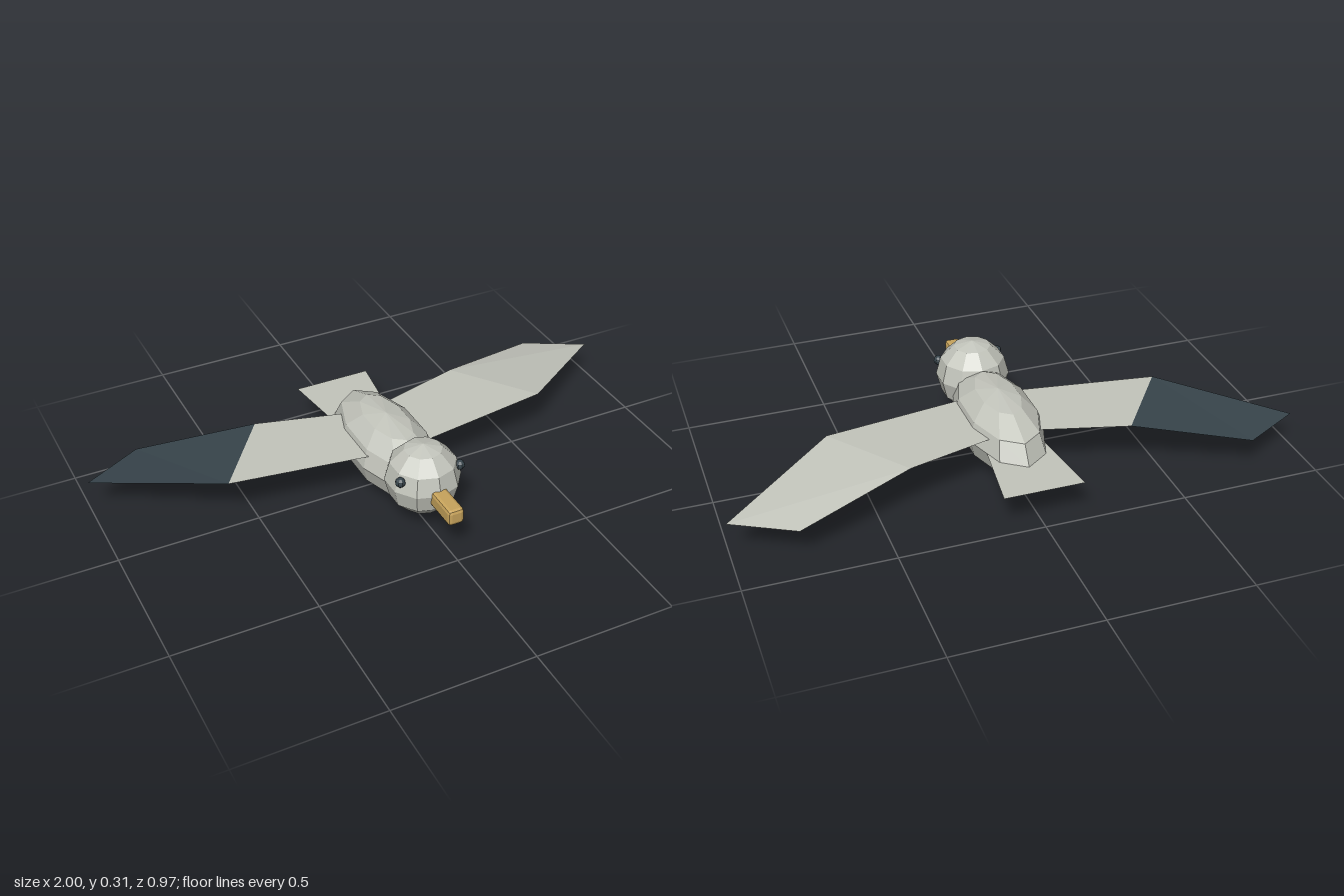
import * as THREE from 'three';
import { RoundedBoxGeometry } from 'three/addons/geometries/RoundedBoxGeometry.js';

const makeMaterial = (name, color, side = THREE.FrontSide) => {
  const m = new THREE.MeshStandardMaterial({ color, flatShading: true, side });
  m.name = name;
  return m;
};

// Flat four-cornered plate, corners counter-clockwise seen from above
function plate(corners) {
  const g = new THREE.BufferGeometry();
  g.setAttribute('position', new THREE.Float32BufferAttribute(corners.flat(), 3));
  g.setIndex([0, 1, 2, 0, 2, 3]);
  const flat = g.toNonIndexed();
  flat.computeVertexNormals();
  return flat;
}

// Faceted ellipsoid with a column of vertices facing forward
function ellipsoid(rx, ry, rz, sides = 10, rings = 6) {
  return new THREE.SphereGeometry(1, sides, rings, Math.PI / 2).scale(rx, ry, rz);
}

export function createModel() {
  const bird = new THREE.Group();
  bird.name = 'bird';

  const feather = makeMaterial('pale grey feather', 0xc3c5bc, THREE.DoubleSide);
  const dark = makeMaterial('dark slate', 0x37444b, THREE.DoubleSide);
  const horn = makeMaterial('tan bill', 0xc8a45c);

  const add = (name, geometry, material, x = 0, y = 0, z = 0) => {
    const mesh = new THREE.Mesh(geometry, material);
    mesh.name = name;
    mesh.position.set(x, y, z);
    bird.add(mesh);
    return mesh;
  };

  // Body, head and bill
  add('body', ellipsoid(0.14, 0.1325, 0.31), feather, 0, 0.1325, -0.03);
  add('head', ellipsoid(0.131, 0.131, 0.131), feather, 0, 0.179, 0.245);
  add('bill', new RoundedBoxGeometry(0.058, 0.058, 0.16, 1, 0.012), horn, 0, 0.168, 0.405);

  // Tail fan
  add('tail', plate([
    [-0.14, 0.133, -0.485], [-0.1, 0.133, -0.18],
    [0.1, 0.133, -0.18], [0.14, 0.133, -0.485],
  ]), feather);

  // Wings: level inner panel, drooping tip (dark on the right wing only)
  const inner = [[0, 0.18, -0.18], [0, 0.18, 0.088], [0.6, 0.18, 0], [0.39, 0.18, -0.285]];
  const tip = [[0.39, 0.18, -0.285], [0.6, 0.18, 0], [1, 0.115, -0.3], [0.79, 0.115, -0.415]];
  for (const [label, s] of [['left', 1], ['right', -1]]) {
    const mirrored = (pts) => {
      const p = pts.map(([x, y, z]) => [s * x, y, z]);
      return plate(s > 0 ? p : p.reverse());
    };
    add(label + 'WingInner', mirrored(inner), feather);
    add(label + 'WingTip', mirrored(tip), s > 0 ? feather : dark);
    add(label + 'Eye', ellipsoid(0.018, 0.018, 0.018, 8, 6), dark, s * 0.111, 0.223, 0.298);
  }
  return bird;
}
